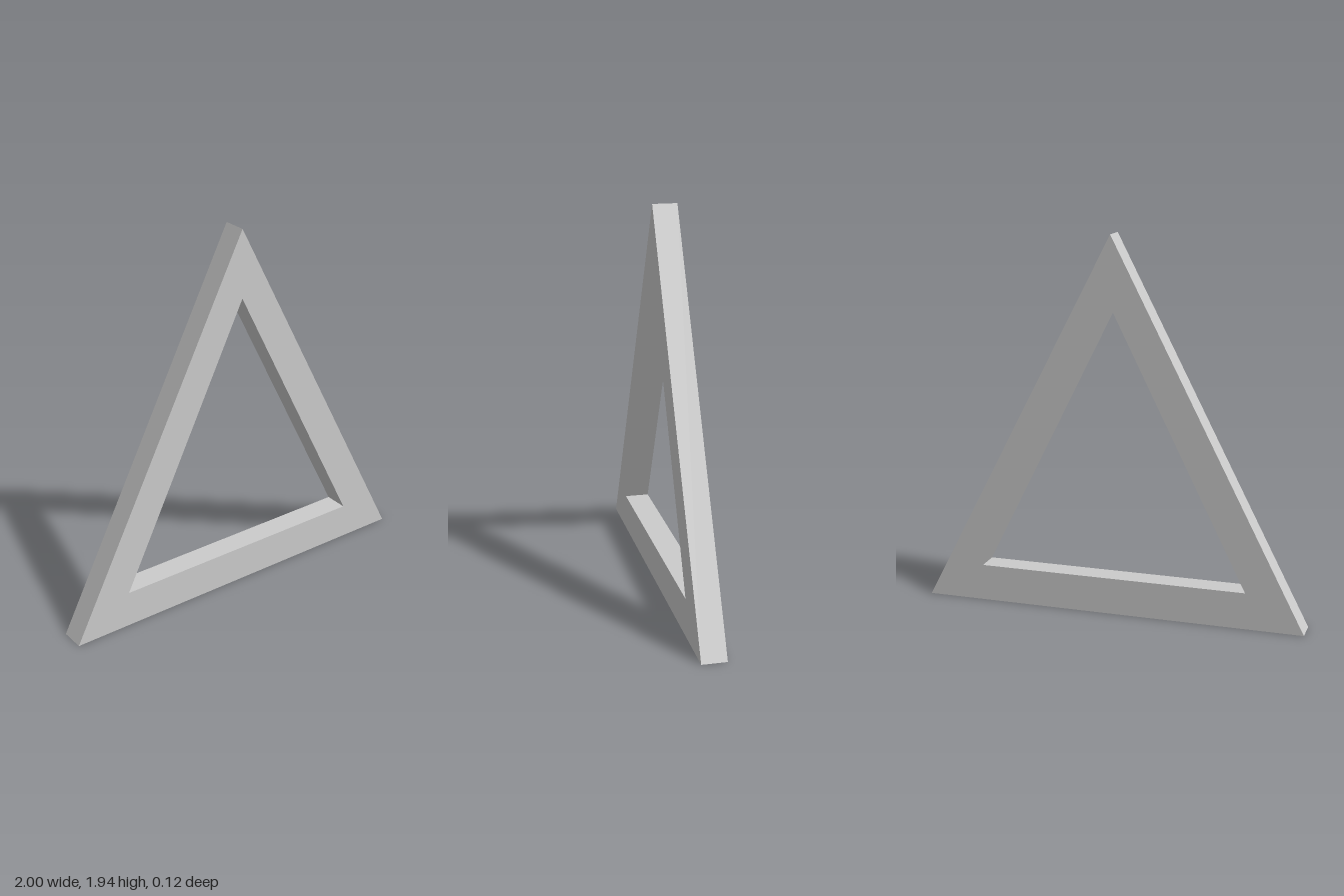
import * as THREE from 'three';

const DEPTH = 0.125;

// Corners of an upright isosceles triangle
const triangle = (halfWidth, bottom, top) => [
  new THREE.Vector2(-halfWidth, bottom),
  new THREE.Vector2(halfWidth, bottom),
  new THREE.Vector2(0, top),
];

export function createModel() {
  const group = new THREE.Group();
  group.name = 'triangle';

  // Outer triangle with a triangular opening
  const outline = new THREE.Shape(triangle(1, 0, 1.94));
  outline.holes.push(new THREE.Path(triangle(0.7, 0.19, 1.59).reverse()));

  // Flat slab centred on z = 0
  const geometry = new THREE.ExtrudeGeometry(outline, { depth: DEPTH, bevelEnabled: false });
  geometry.translate(0, 0, -DEPTH / 2);

  const frame = new THREE.Mesh(
    geometry,
    new THREE.MeshStandardMaterial({ color: 0xcccccc, flatShading: true }),
  );
  frame.name = 'triangularFrame';
  group.add(frame);
  return group;
}
